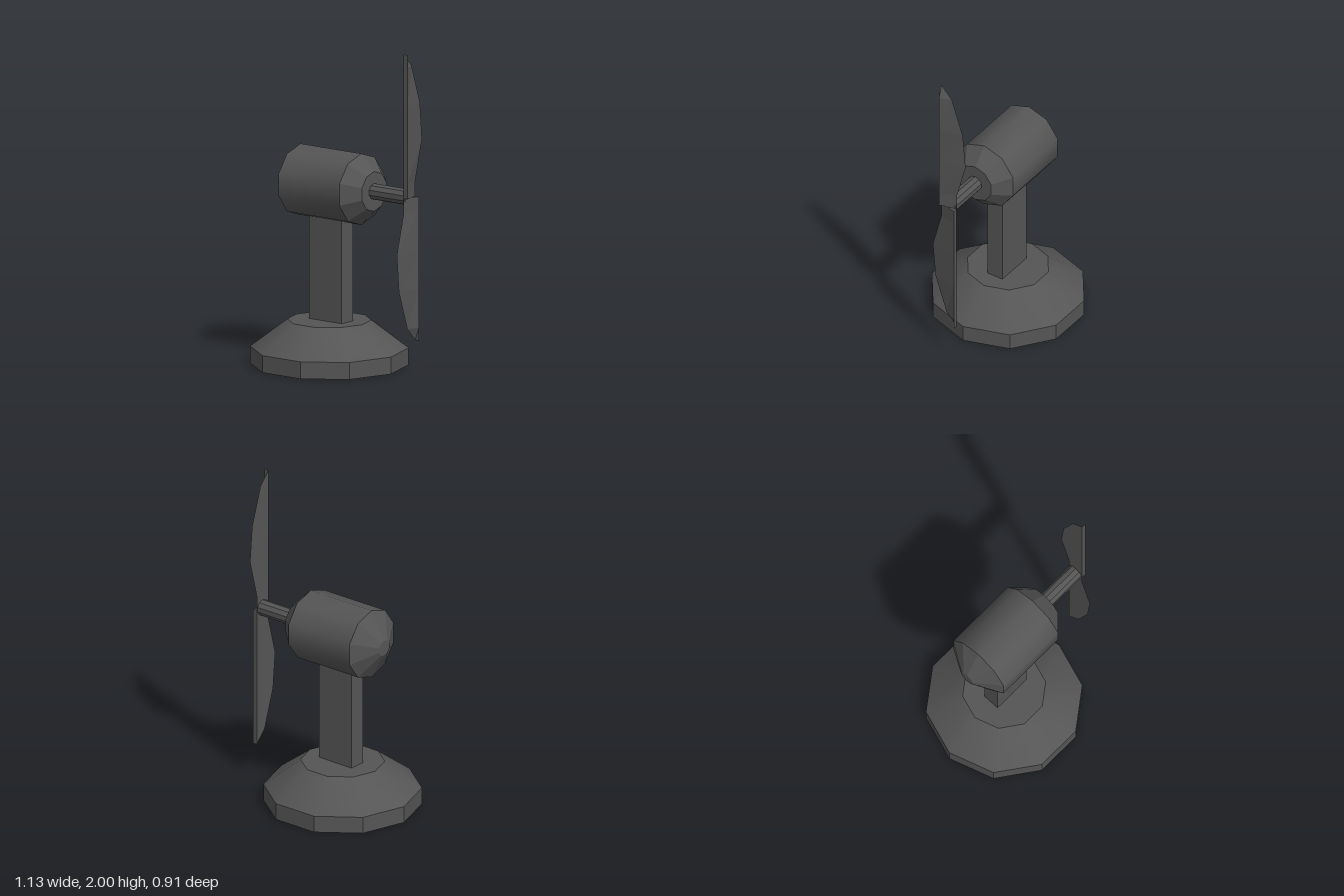
import * as THREE from 'three';
import { toCreasedNormals } from 'three/addons/utils/BufferGeometryUtils.js';

const SIDES = 10;
const AXIS_Y = 1.11; // height of the motor axis
const smooth = new THREE.MeshStandardMaterial({ color: 0x555555 });
const flat = new THREE.MeshStandardMaterial({ color: 0x555555, flatShading: true });

function part(name, geometry, material = smooth) {
  const mesh = new THREE.Mesh(geometry, material);
  mesh.name = name;
  return mesh;
}

// Ten-sided turned solid with corners on its local x axis
function turned(profile, crease) {
  const points = profile.map(([r, y]) => new THREE.Vector2(r, y));
  return toCreasedNormals(new THREE.LatheGeometry(points, SIDES, Math.PI / 2), crease);
}

// Turned solid lying along the x axis at motor height
function turnedAlongX(profile, crease) {
  return turned(profile, crease).rotateZ(-Math.PI / 2).translate(0, AXIS_Y, 0);
}

// Wedge blade: thick straight edge, thin curved trailing edge
function bladeGeometry() {
  const back = 0.535, front = 0.565, edge = 0.055;
  const stations = [[0, -0.055], [0.09, -0.055], [0.34, -0.12], [0.57, -0.1], [0.81, -0.02], [0.89, edge]];
  const positions = [];
  const index = [0, 2, 1];
  stations.forEach(([y, trailing], i) => {
    positions.push(back, y, edge, front, y, edge, back, y, trailing);
    if (i === 0) return;
    for (let k = 0; k < 3; k++) {
      const a = (i - 1) * 3 + k, b = (i - 1) * 3 + (k + 1) % 3;
      index.push(a, b, b + 3, a, b + 3, a + 3);
    }
  });
  const geometry = new THREE.BufferGeometry();
  geometry.setAttribute('position', new THREE.Float32BufferAttribute(positions, 3));
  geometry.setIndex(index);
  geometry.computeVertexNormals();
  return toCreasedNormals(geometry, 0.3);
}

export function createModel() {
  const model = new THREE.Group();
  model.name = 'deskFan';

  // Base with upright rim and sloped top
  const base = turned([[0, 0], [0.48, 0], [0.48, 0.105], [0.255, 0.275], [0, 0.275]], 0.6);
  model.add(part('base', base.translate(-0.09, 0, 0)));

  // Flat upright post
  const post = new THREE.BoxGeometry(0.255, 0.7, 0.11).translate(-0.078, 0.61, 0);
  model.add(part('post', post));

  // Motor housing: smooth barrel, faceted ends
  const motor = new THREE.Group();
  motor.name = 'motor';
  motor.add(
    part('barrel', turnedAlongX([[0.22, -0.315], [0.22, 0.16]], 0.65)),
    part('rearCap', turnedAlongX([[0, -0.415], [0.05, -0.415], [0.22, -0.315]], 0.1), flat),
    part('frontCap', turnedAlongX([[0.22, 0.16], [0.123, 0.26], [0, 0.26]], 0.1), flat),
  );
  model.add(motor);

  // Drive shaft
  model.add(part('shaft', turnedAlongX([[0.05, 0.25], [0.05, 0.54], [0, 0.54]], 0.1), flat));

  // Two blades, half a turn apart
  const propeller = new THREE.Group();
  propeller.name = 'propeller';
  propeller.position.y = AXIS_Y;
  const blade = bladeGeometry();
  for (let i = 0; i < 2; i++) {
    const mesh = part('blade', blade, flat);
    mesh.rotation.x = i * Math.PI;
    propeller.add(mesh);
  }
  model.add(propeller);

  return model;
}
